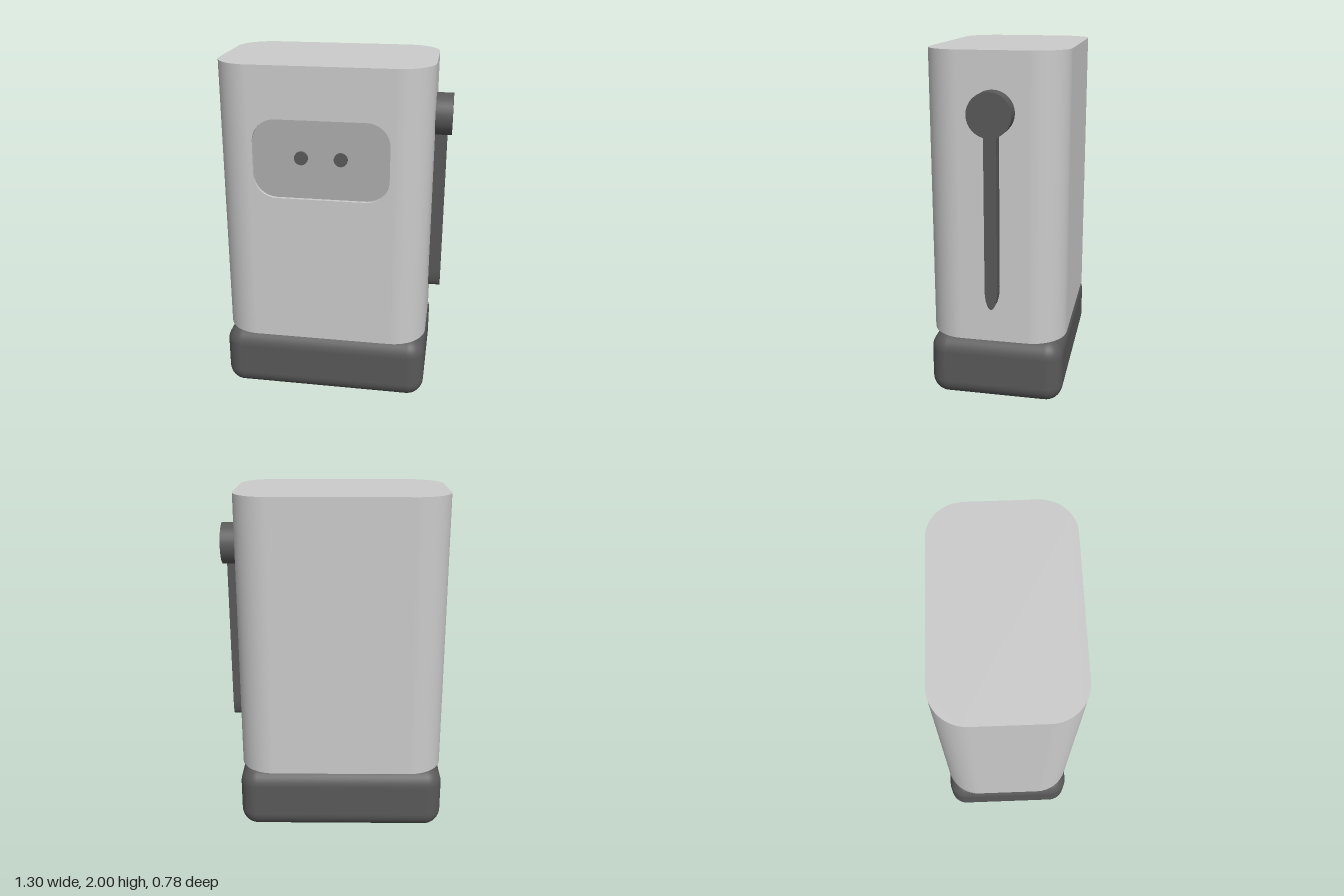
import * as THREE from 'three';
import { toCreasedNormals } from 'three/addons/utils/BufferGeometryUtils.js';
import { RoundedBoxGeometry } from 'three/addons/geometries/RoundedBoxGeometry.js';

const CX = -0.045, HX = 0.6, HZ = 0.39, R = 0.2; // body plan
const Y0 = 0.38, Y1 = 2, RECESS = 0.02;

const grey = new THREE.MeshStandardMaterial({ color: 0xcccccc });
const midGrey = new THREE.MeshStandardMaterial({ color: 0xadadad });
const dark = new THREE.MeshStandardMaterial({ color: 0x595959 });

function add(parent, name, geometry, material, x = 0, y = 0, z = 0) {
  const mesh = new THREE.Mesh(geometry, material);
  mesh.name = name;
  mesh.position.set(x, y, z);
  parent.add(mesh);
  return mesh;
}

// Rounded rectangle centred on the origin, usable as shape or hole
function roundedRect(w, h, r, Type = THREE.Shape) {
  const s = new Type(), x = w / 2, y = h / 2;
  s.moveTo(x, -y + r);
  s.absarc(x - r, y - r, r, 0, Math.PI / 2);
  s.absarc(-x + r, y - r, r, Math.PI / 2, Math.PI);
  s.absarc(-x + r, -y + r, r, Math.PI, Math.PI * 1.5);
  s.absarc(x - r, -y + r, r, Math.PI * 1.5, Math.PI * 2);
  return s;
}

// Smooth wall running round the sides and back, open across the flat front
function wallGeometry(steps = 10) {
  const pos = [], nor = [], idx = [];
  const corners = [[1, 1], [1, -1], [-1, -1], [-1, 1]];
  corners.forEach(([sx, sz], c) => {
    for (let i = 0; i <= steps; i++) {
      const a = Math.PI / 2 * (1 - c - i / steps);
      const nx = Math.cos(a), nz = Math.sin(a);
      for (const y of [Y0, Y1]) {
        pos.push(sx * (HX - R) + R * nx, y, sz * (HZ - R) + R * nz);
        nor.push(nx, 0, nz);
      }
    }
  });
  for (let i = 0; i < pos.length / 3 - 2; i += 2) {
    idx.push(i, i + 2, i + 3, i, i + 3, i + 1);
  }
  const g = new THREE.BufferGeometry();
  g.setAttribute('position', new THREE.Float32BufferAttribute(pos, 3));
  g.setAttribute('normal', new THREE.Float32BufferAttribute(nor, 3));
  g.setIndex(idx);
  return g;
}

export function createModel() {
  const model = new THREE.Group();
  model.name = 'boxRobot';

  // Soft-edged foot block
  add(model, 'base', new RoundedBoxGeometry(1.21, 0.38, 0.77, 6, 0.1), dark, CX, 0.19, 0);

  // Body: wall, lids and a front plate with the face opening
  const body = new THREE.Group();
  body.name = 'body';
  body.position.x = CX;
  model.add(body);
  add(body, 'bodyWall', wallGeometry(), grey);
  const lid = new THREE.ShapeGeometry(roundedRect(HX * 2, HZ * 2, R), 10);
  add(body, 'bodyTop', lid, grey, 0, Y1, 0).rotation.x = -Math.PI / 2;
  add(body, 'bodyBottom', lid, grey, 0, Y0, 0).rotation.x = Math.PI / 2;

  const faceY = 1.485, w = HX - R;
  const plate = new THREE.Shape();
  plate.moveTo(-w, Y0 - faceY).lineTo(w, Y0 - faceY).lineTo(w, Y1 - faceY).lineTo(-w, Y1 - faceY);
  plate.closePath();
  plate.holes.push(roundedRect(0.76, 0.45, 0.13, THREE.Path));
  const plateGeo = new THREE.ExtrudeGeometry(plate, { depth: RECESS, bevelEnabled: false, curveSegments: 8 });
  add(body, 'bodyFront', toCreasedNormals(plateGeo, 0.6), grey, 0, faceY, HZ - RECESS);

  // Recessed face panel and eyes
  const panel = new THREE.ShapeGeometry(roundedRect(0.76, 0.45, 0.13), 8);
  add(body, 'facePanel', panel, midGrey, 0, faceY, HZ - RECESS);
  for (const [name, side] of [['leftEye', 1], ['rightEye', -1]]) {
    const eye = add(body, name, new THREE.CylinderGeometry(0.038, 0.038, 0.03, 24), dark, side * 0.11, 1.495, HZ - RECESS);
    eye.rotation.x = Math.PI / 2;
  }

  // Side arm: round shoulder and a slim bar with a tapered tip
  const arm = new THREE.Group();
  arm.name = 'leftArm';
  arm.position.set(0.55, 1.68, 0);
  model.add(arm);
  const shoulder = add(arm, 'shoulder', new THREE.CylinderGeometry(0.12, 0.12, 0.1, 32), dark, 0.05, 0, 0);
  shoulder.rotation.z = Math.PI / 2;

  const bar = new THREE.Shape();
  bar.moveTo(0.035, 0);
  bar.lineTo(-0.035, 0);
  bar.lineTo(-0.035, -0.97);
  bar.absellipse(0, -0.97, 0.035, 0.11, Math.PI, Math.PI * 2, false);
  bar.closePath();
  const barGeo = new THREE.ExtrudeGeometry(bar, { depth: 0.075, bevelEnabled: false, curveSegments: 12 });
  add(arm, 'armBar', toCreasedNormals(barGeo, 0.7), dark).rotation.y = Math.PI / 2;

  return model;
}
